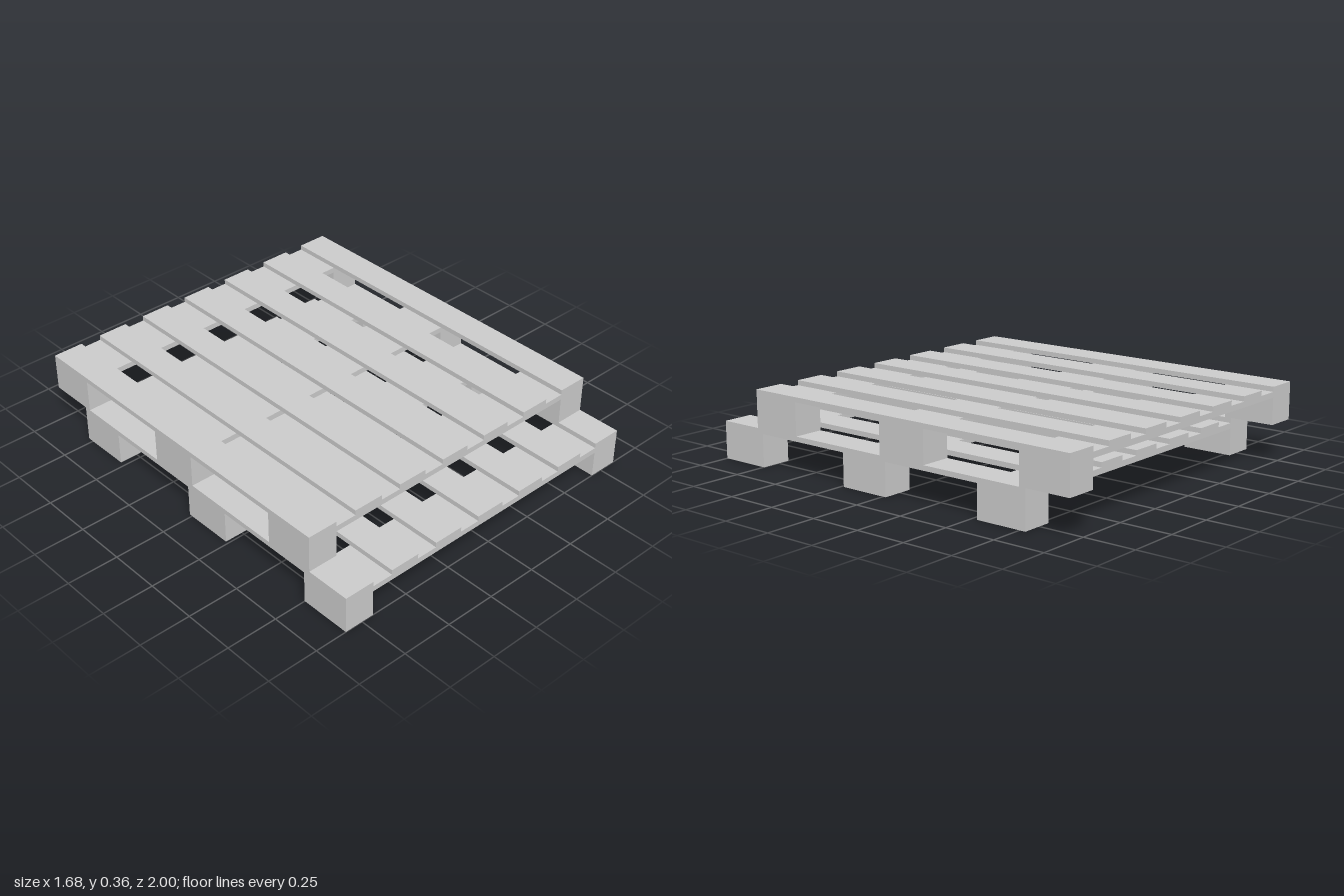
import * as THREE from 'three';

const material = new THREE.MeshStandardMaterial({ color: 0xcccccc, flatShading: true });

const HEIGHT = 0.18, LENGTH = 1.78;
const SLAT_T = 0.024, SLAT_W = 0.15, PITCH = 0.255;
const BOARD_T = 0.027, BLOCK_D = 0.252;

// Box given by its size, centre x/z and bottom y
function addBox(parent, name, [w, h, d], x, y, z) {
  const mesh = new THREE.Mesh(new THREE.BoxGeometry(w, h, d), material);
  mesh.name = name;
  mesh.position.set(x, y + h / 2, z);
  parent.add(mesh);
}

function createPallet(name) {
  const pallet = new THREE.Group();
  pallet.name = name;
  const slatY = HEIGHT - SLAT_T;
  const sideX = 3 * PITCH;

  // Seven deck slats running front to back
  for (let i = -3; i <= 3; i++) {
    addBox(pallet, 'deckSlat', [SLAT_W, SLAT_T, LENGTH], i * PITCH, slatY, 0);
  }

  // Three rows: a cross board between two foot blocks
  for (const row of [-1, 0, 1]) {
    const z = row * (LENGTH - BLOCK_D) / 2;
    addBox(pallet, 'crossBoard', [2 * sideX - SLAT_W, BOARD_T, BLOCK_D], 0, slatY - BOARD_T, z);
    for (const side of [-1, 1]) {
      addBox(pallet, 'footBlock', [SLAT_W, slatY, BLOCK_D], side * sideX, 0, z);
    }
  }
  return pallet;
}

export function createModel() {
  const model = new THREE.Group();
  model.name = 'stackedPallets';

  // Two pallets, the upper one shifted towards the back
  const lower = createPallet('lowerPallet');
  lower.position.z = 0.11;
  const upper = createPallet('upperPallet');
  upper.position.set(0, HEIGHT, -0.11);
  model.add(lower, upper);
  return model;
}
